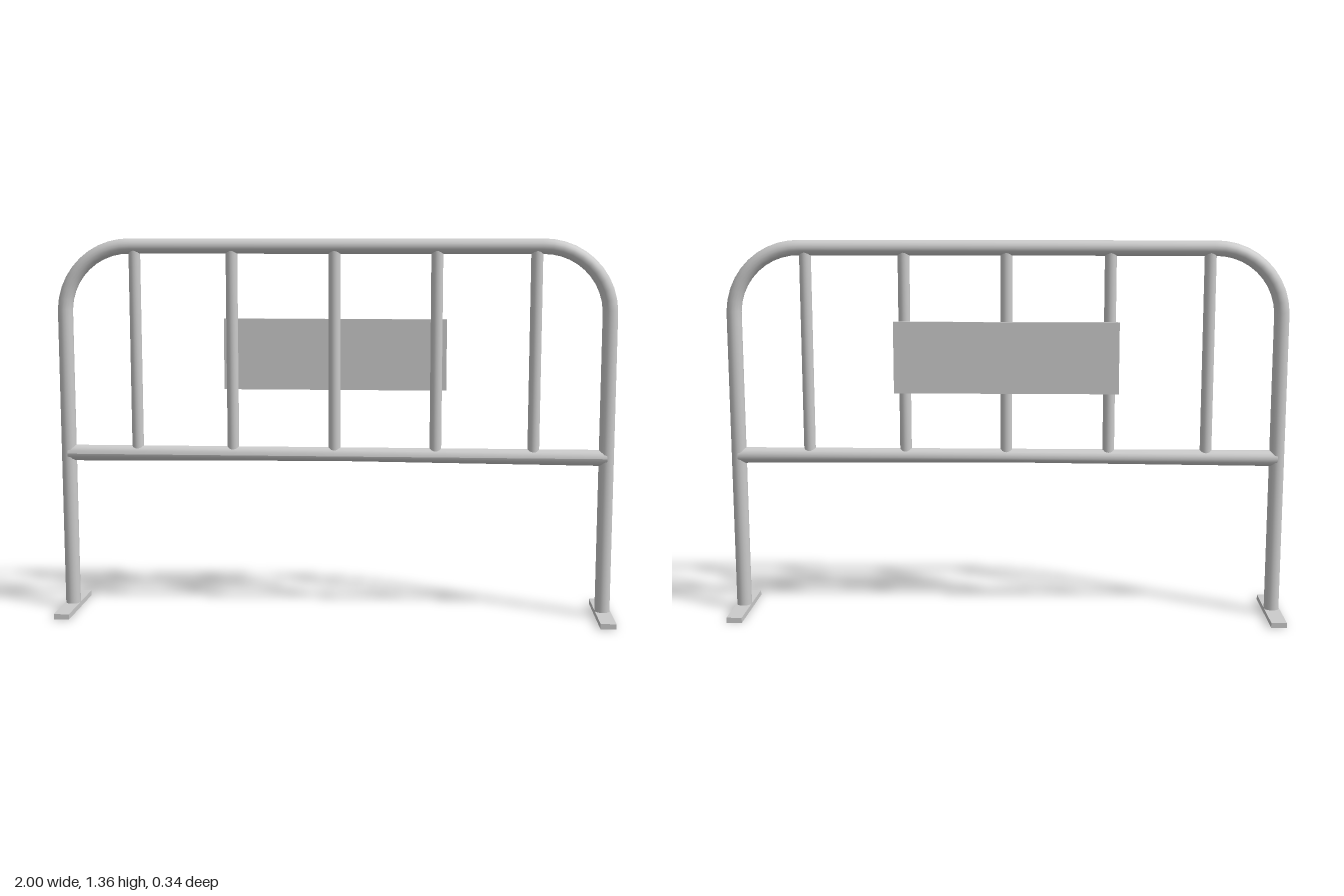
import * as THREE from 'three';

export function createModel() {
  const model = new THREE.Group();
  const material = new THREE.MeshStandardMaterial({ color: 0xcccccc });

  const add = (name, geometry, x = 0, y = 0, z = 0) => {
    const mesh = new THREE.Mesh(geometry, material);
    mesh.name = name;
    mesh.position.set(x, y, z);
    model.add(mesh);
    return mesh;
  };

  // Bent outer tube: two legs, rounded corners and top rail in one sweep
  const legX = 0.971, railY = 1.329, bend = 0.235, tubeR = 0.027;
  const points = [];
  for (let y = 0.01; y < railY - bend - 0.02; y += 0.27) points.push([-legX, y]);
  const path = new THREE.CurvePath();
  const v = (x, y) => new THREE.Vector3(x, y, 0);
  const k = bend * 0.4477; // distance of arc handles from the square corner
  path.add(new THREE.LineCurve3(v(-legX, 0.01), v(-legX, railY - bend)));
  path.add(new THREE.CubicBezierCurve3(v(-legX, railY - bend), v(-legX, railY - k),
    v(-legX + k, railY), v(-legX + bend, railY)));
  path.add(new THREE.LineCurve3(v(-legX + bend, railY), v(legX - bend, railY)));
  path.add(new THREE.CubicBezierCurve3(v(legX - bend, railY), v(legX - k, railY),
    v(legX, railY - k), v(legX, railY - bend)));
  path.add(new THREE.LineCurve3(v(legX, railY - bend), v(legX, 0.01)));
  add('outerFrame', new THREE.TubeGeometry(path, 120, tubeR, 16));

  // Lower rail: level on top, its underside rising slightly to the middle
  const rail = new THREE.CylinderGeometry(0.029, 0.029, legX * 2, 16, 2);
  rail.rotateZ(Math.PI / 2);
  const pos = rail.attributes.position;
  for (let i = 0; i < pos.count; i++) {
    if (Math.abs(pos.getX(i)) < 0.01 && pos.getY(i) < 0) pos.setY(i, pos.getY(i) * 0.72);
  }
  rail.computeVertexNormals();
  add('lowerRail', rail, 0, 0.581);

  // Upright bars between the rails
  for (const x of [-0.716, -0.367, 0, 0.363, 0.712]) {
    add('uprightBar', new THREE.CylinderGeometry(0.021, 0.021, 0.73, 16), x, 0.955);
  }

  // Blank sign plate on the back
  add('signPlate', new THREE.BoxGeometry(0.8, 0.255, 0.014), 0, 0.943, -0.028);

  // Flat feet
  for (const side of [-1, 1]) {
    add('foot', new THREE.BoxGeometry(0.055, 0.019, 0.336), side * 0.9725, 0.0095, 0);
  }
  return model;
}
